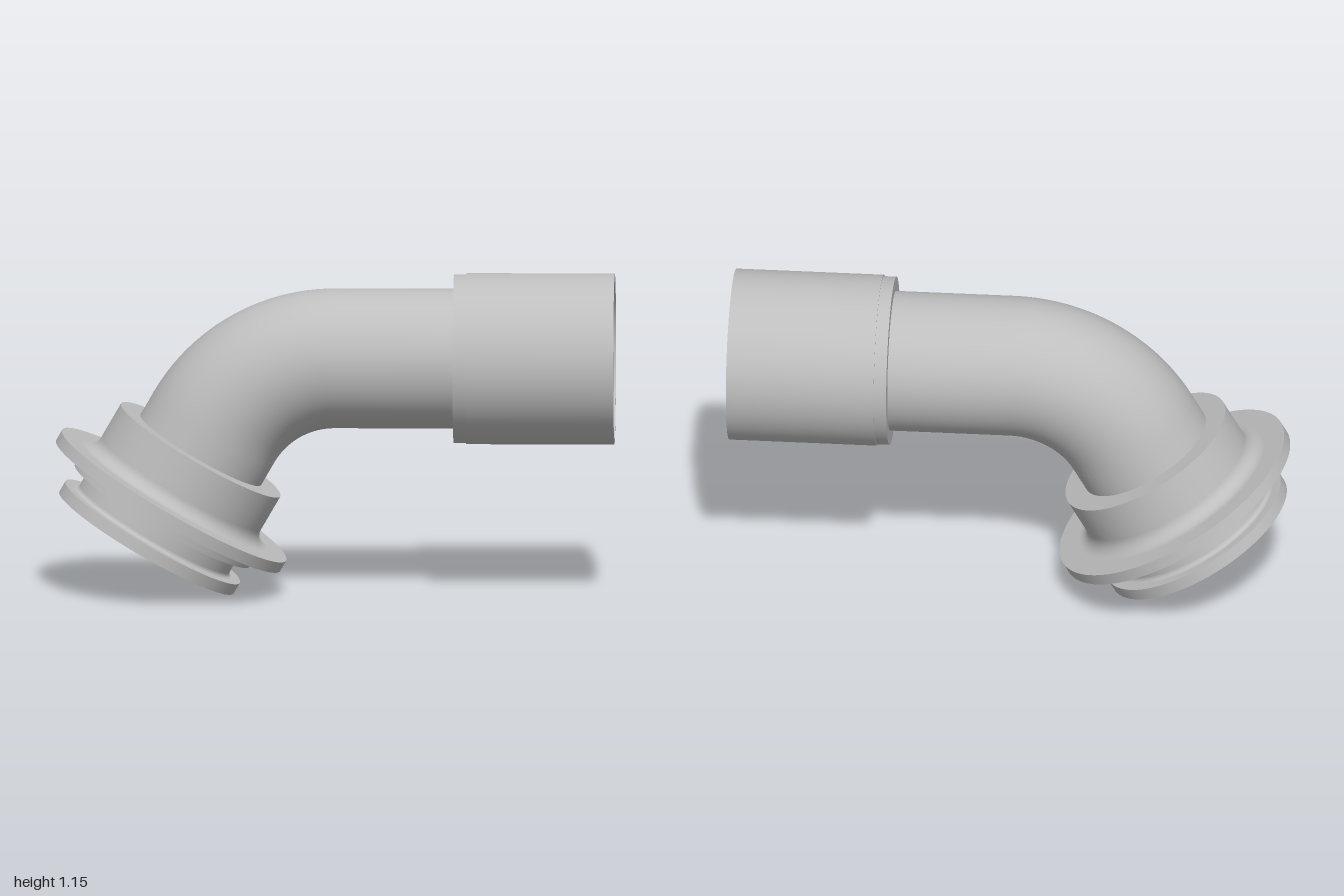
import * as THREE from 'three';
import { mergeGeometries } from 'three/addons/utils/BufferGeometryUtils.js';

const PIPE_R = 0.25, BORE_R = 0.213, BEND_R = 0.5, AXIS_Y = 0.85;
const BEND = Math.PI / 3;

// Quarter-ellipse points [radius, height] around a centre, angles in degrees
function arc(cr, ch, rr, rh, from, to, n = 12) {
  return Array.from({ length: n + 1 }, (_, i) => {
    const a = THREE.MathUtils.degToRad(from + (to - from) * i / n);
    return [cr + rr * Math.cos(a), ch + rh * Math.sin(a)];
  });
}

// Revolve a chain of items: a point is a sharp corner, a list of points is a smooth run
function revolve(items) {
  const runs = [];
  let last = null;
  for (const item of items) {
    const smooth = Array.isArray(item[0]);
    const first = smooth ? item[0] : item;
    if (last && Math.hypot(last[0] - first[0], last[1] - first[1]) > 1e-5) runs.push([last, first]);
    if (smooth) runs.push(item);
    last = smooth ? item[item.length - 1] : item;
  }
  return mergeGeometries(runs.map(run =>
    new THREE.LatheGeometry(run.map(p => new THREE.Vector2(p[0], p[1])), 96)));
}

export function createModel() {
  const model = new THREE.Group();
  model.name = 'pipeElbow';
  const grey = new THREE.MeshStandardMaterial({ color: 0xbebebe, side: THREE.DoubleSide });
  grey.name = 'grey';

  const add = (parent, name, geometry) => {
    const mesh = new THREE.Mesh(geometry, grey);
    mesh.name = name;
    parent.add(mesh);
    return mesh;
  };

  // Horizontal run, revolved about the x axis
  const run = new THREE.Group();
  run.name = 'horizontalRun';
  run.position.y = AXIS_Y;
  run.rotation.z = -Math.PI / 2;
  model.add(run);
  add(run, 'straightPipe', revolve([[PIPE_R, 0], [PIPE_R, 0.425]]));
  add(run, 'socketSleeve', revolve([
    [PIPE_R, 0.425], [0.301, 0.425], [0.301, 0.47], [0.306, 0.47], [0.306, 1],
    [0.29, 1], [0.29, 0.75], [0.274, 0.75], [0.274, 0.97], [PIPE_R, 0.97], [PIPE_R, 0.955],
    [0.235, 0.955], arc(0.235, 0.933, 0.022, 0.022, 90, 180, 8), [BORE_R, 0],
  ]));

  // Sixty degree bend, outer and inner walls
  for (const [name, r] of [['bendOuterWall', PIPE_R], ['bendBore', BORE_R]]) {
    const bend = add(model, name, new THREE.TorusGeometry(BEND_R, r, 72, 48, BEND));
    bend.position.y = AXIS_Y - BEND_R;
    bend.rotation.z = Math.PI / 2;
  }

  // Tilted flange end: local origin at the collar top, local y along the pipe
  const flange = new THREE.Group();
  flange.name = 'flangeEnd';
  flange.position.set(-0.4805, 0.5177, 0);
  flange.rotation.z = -Math.PI / 6;
  model.add(flange);
  add(flange, 'lowerPipe', revolve([[PIPE_R, 0], [PIPE_R, 0.095]]));
  add(flange, 'flangeCollar', revolve([
    // bottom lip, seal groove and step
    [0.333, -0.388], [0.361, -0.388], [0.361, -0.344], [0.325, -0.344],
    arc(0.325, -0.329, 0.015, 0.015, 270, 180, 6), [0.31, -0.275],
    [0.362, -0.275], [0.362, -0.233],
    // wide disc, fillet and collar
    [0.464, -0.233], [0.464, -0.19],
    arc(0.38, -0.14, 0.05, 0.05, 270, 180), [0.33, 0], [PIPE_R, 0],
  ]));
  // Bore opening out into a bell mouth
  add(flange, 'bellMouth', revolve([
    [BORE_R, 0.095], arc(0.333, -0.138, 0.12, 0.25, 180, 270, 20),
  ]));

  return model;
}
